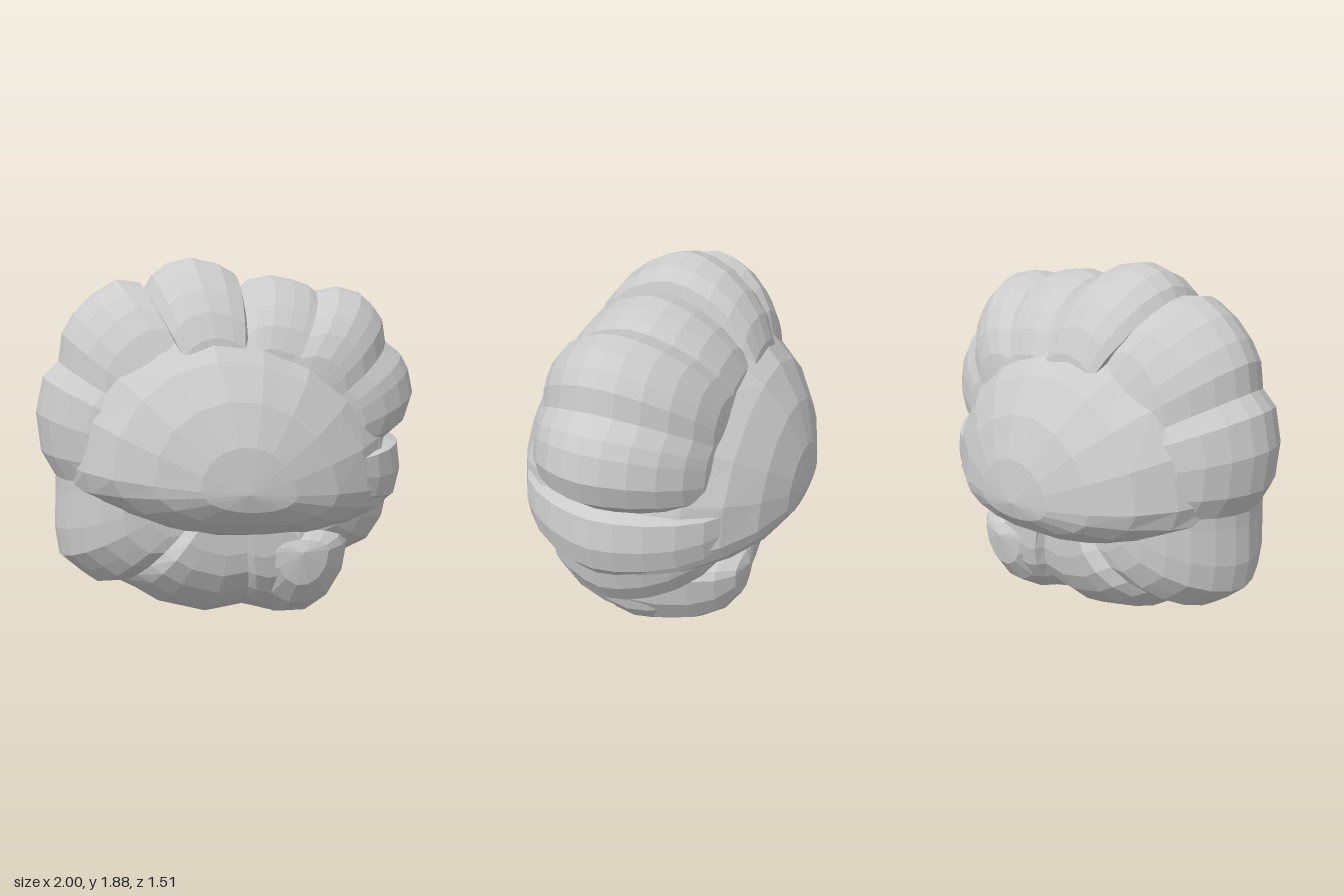
import * as THREE from 'three';

const material = new THREE.MeshStandardMaterial({ color: 0xcccccc, flatShading: true });

// Rim lobes, counter-clockwise from the right: [half depth, outline points]
const CENTRE = [-0.03, 0.85];
const RIM = [
  [0.47, [[0.85, 0.96], [0.96, 1.05], [1.0, 1.18], [0.97, 1.31], [0.93, 1.38]]],
  [0.47, [[0.84, 1.45], [0.82, 1.57], [0.77, 1.64], [0.7, 1.7], [0.58, 1.73], [0.46, 1.71]]],
  [0.465, [[0.42, 1.74], [0.33, 1.77], [0.22, 1.79], [0.11, 1.77], [0.05, 1.72]]],
  [0.475, [[0.03, 1.8], [-0.06, 1.85], [-0.2, 1.88], [-0.32, 1.85], [-0.4, 1.79], [-0.44, 1.72]]],
  [0.425, [[-0.46, 1.755], [-0.58, 1.77], [-0.7, 1.7], [-0.8, 1.6], [-0.86, 1.5], [-0.88, 1.36]]],
  [0.44, [[-0.96, 1.28], [-1, 1.1], [-0.98, 0.9], [-0.91, 0.77]]],
  [0.44, [[-0.91, 0.7], [-0.92, 0.5], [-0.9, 0.35], [-0.8, 0.26], [-0.72, 0.2], [-0.6, 0.2]]],
  [0.5, [[-0.52, 0.16], [-0.4, 0.08], [-0.15, 0.01], [0.05, 0.04]]],
  [0.54, [[0.1, 0.03], [0.2, 0], [0.35, 0.03], [0.48, 0.07], [0.56, 0.17]]],
  [0.48, [[0.6, 0.31], [0.76, 0.38], [0.84, 0.5], [0.86, 0.6]]],
  [0.57, [[0.9, 0.65], [0.93, 0.78], [0.91, 0.93]]],
];

// One closed skin: the outline shrinks towards the centre as it swells in z,
// so every notch runs on as a crease between two lobes.
function rimGeometry() {
  const outline = RIM.flatMap(([depth, pts]) => pts.map(([x, y]) => [x, y, depth]));
  const n = outline.length;
  const steps = 6;
  const profile = [];
  for (let j = -steps; j <= steps; j++) {
    const a = (j / steps) * Math.PI / 2;
    profile.push([0.5 + 0.5 * Math.cos(a), Math.sign(a) * Math.pow(Math.abs(Math.sin(a)), 1.2)]);
  }
  profile.unshift([0.02, -1]);
  profile.push([0.02, 1]);

  const pos = [];
  const index = [];
  for (const [s, z] of profile) {
    for (const [x, y, depth] of outline) {
      pos.push(CENTRE[0] + (x - CENTRE[0]) * s, CENTRE[1] + (y - CENTRE[1]) * s, z * depth);
    }
  }
  for (let j = 0; j < profile.length - 1; j++) {
    for (let i = 0; i < n; i++) {
      const a = j * n + i;
      const b = j * n + (i + 1) % n;
      index.push(a, b, b + n, a, b + n, a + n);
    }
  }
  const g = new THREE.BufferGeometry();
  g.setAttribute('position', new THREE.Float32BufferAttribute(pos, 3));
  g.setIndex(index);
  g.computeVertexNormals();
  return g;
}

// Faceted ball with its poles on z, each vertex moved by a rule
function bentBall(sides, rings, rule) {
  const g = new THREE.SphereGeometry(1, sides, rings);
  g.rotateX(Math.PI / 2);
  const p = g.attributes.position;
  const v = new THREE.Vector3();
  for (let i = 0; i < p.count; i++) {
    rule(v.fromBufferAttribute(p, i));
    p.setXYZ(i, v.x, v.y, v.z);
  }
  g.computeVertexNormals();
  return g;
}

export function createModel() {
  const group = new THREE.Group();
  group.name = 'lobedMass';
  const add = (name, geometry) => {
    const mesh = new THREE.Mesh(geometry, material);
    mesh.name = name;
    group.add(mesh);
  };

  add('rimLobes', rimGeometry());

  // side bulges: tall above, tucked under below, sloping down to the right
  add('centralMass', bentBall(18, 12, (v) => {
    const bump = 1 + 0.015 * (Math.sin(9 * v.x + 4 * v.y) + Math.sin(7 * v.y - 11 * v.x)) * (1 - v.z * v.z);
    v.x *= (v.x < 0 ? 0.87 : 0.91) * bump;
    v.y *= (v.y < 0 ? 0.35 : 0.85) * bump;
    v.z *= 0.755;
    v.y += 0.79 - 0.08 * v.x;
    v.x -= 0.03;
  }));

  // blunt-ended lobe at the bottom, with a shelf on top and a deep belly
  add('bottomLobe', bentBall(14, 10, (v) => {
    const r = Math.hypot(v.x, v.y);
    const k = r > 1e-6 ? Math.pow(r, -0.2) : 1;
    v.set(0.28 + v.x * k * 0.34, 0.45 + v.y * k * (v.y < 0 ? 0.45 : 0.15), v.z * 0.57);
  }));

  return group;
}
